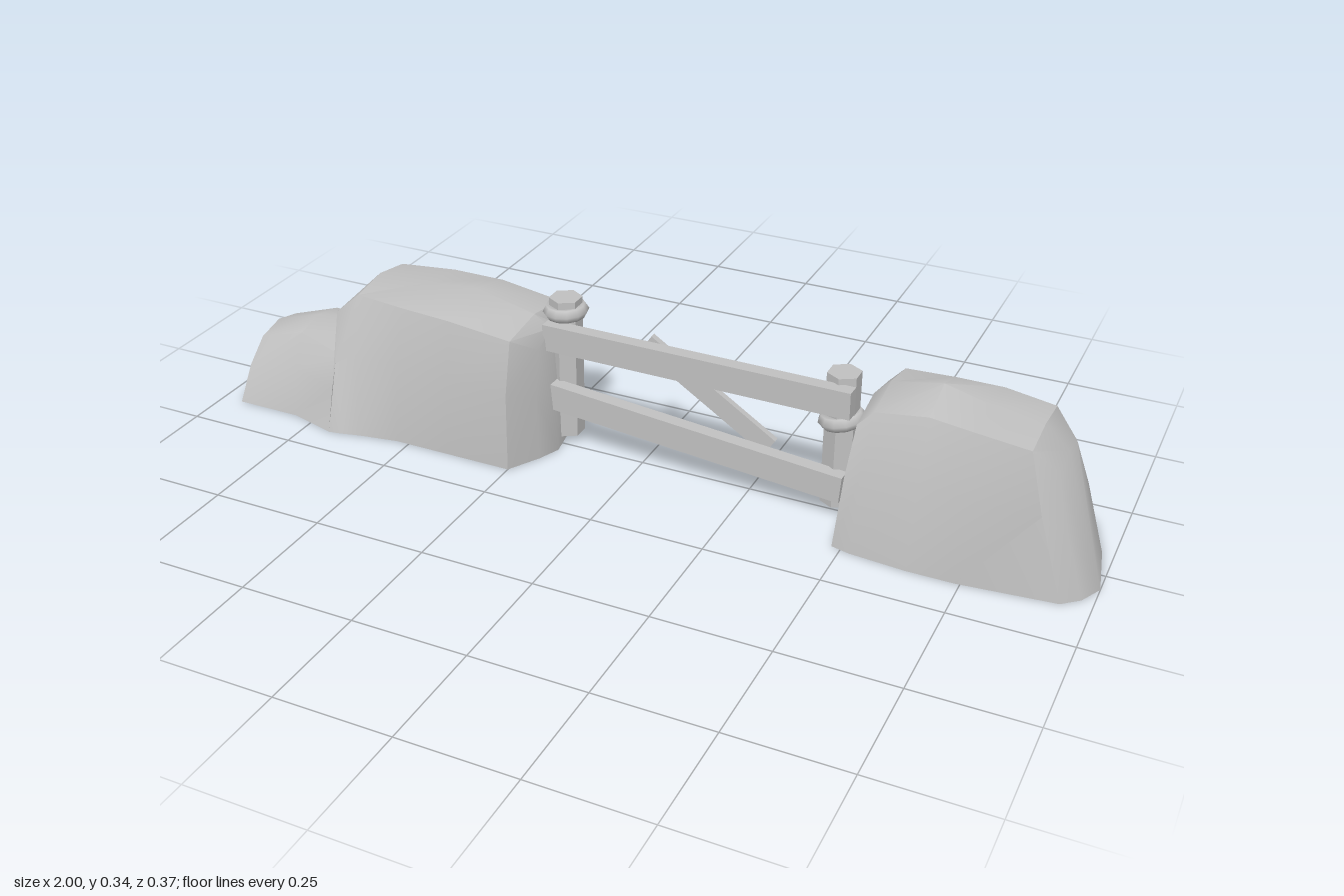
import * as THREE from 'three';
import { toCreasedNormals } from 'three/addons/utils/BufferGeometryUtils.js';

const stone = new THREE.MeshStandardMaterial({ color: 0xc0c0c0 });
stone.name = 'plain grey';

function add(group, name, geometry) {
  const mesh = new THREE.Mesh(geometry, stone);
  mesh.name = name;
  group.add(mesh);
  return mesh;
}

// Seven-point section: front foot, front waist, front shoulder, crown, then the back.
function section([xb, zf, zb, xt, yt, zft, zbt, crown]) {
  const mix = THREE.MathUtils.lerp, t = 0.6;
  const waist = (z0, z1, out) => [mix(xb, xt, t), yt * t, mix(z0, z1, t) + out];
  return [
    [xb, 0, zf], waist(zf, zft, 0.014), [xt, yt, zft],
    [xt, crown, (zft + zbt) / 2],
    [xt, yt, zbt], waist(zb, zbt, -0.012), [xb, 0, zb],
  ];
}

// Rock lofted along x, closed at both ends by a fan to a foot point.
function rock(rows, startTip, endTip) {
  const rings = rows.map(section);
  const n = 7, points = rings.flat();
  const a = points.length, b = a + 1, index = [];
  points.push(startTip, endTip);
  for (let j = 0; j < n; j++) {
    const k = (j + 1) % n;
    for (let i = 0; i < rings.length - 1; i++) {
      const p = i * n, q = p + n;
      index.push(p + j, q + j, q + k, p + j, q + k, p + k);
    }
    const last = (rings.length - 1) * n;
    index.push(a, j, k, b, last + k, last + j);
  }
  const geometry = new THREE.BufferGeometry();
  geometry.setAttribute('position', new THREE.Float32BufferAttribute(points.flat(), 3));
  geometry.setIndex(index);
  return toCreasedNormals(geometry, 0.65);
}

// Hexagonal post with a rope ring around it.
function post(name, x, z, y0, y1, ringY, tilt) {
  const group = new THREE.Group();
  group.name = name;
  const shaft = new THREE.CylinderGeometry(0.036, 0.036, y1 - y0, 6).toNonIndexed();
  shaft.computeVertexNormals();
  add(group, 'postShaft', shaft).position.y = (y0 + y1) / 2;
  const ring = add(group, 'ropeRing', new THREE.TorusGeometry(0.034, 0.016, 6, 12));
  ring.rotation.set(Math.PI / 2, tilt, 0);
  ring.position.y = ringY;
  group.position.set(x, 0, z);
  return group;
}

// Flat board between two points.
function board(group, name, from, to, height, depth) {
  const start = new THREE.Vector3(...from), end = new THREE.Vector3(...to);
  const dir = end.clone().sub(start);
  const mesh = add(group, name, new THREE.BoxGeometry(dir.length(), height, depth));
  mesh.position.copy(start).add(end).multiplyScalar(0.5);
  mesh.quaternion.setFromUnitVectors(new THREE.Vector3(1, 0, 0), dir.normalize());
}

export function createModel() {
  const model = new THREE.Group();
  model.name = 'rocksAndFence';

  // Long stepped rock
  add(model, 'longRock', rock([
    [-0.95, 0.15, -0.12, -0.94, 0.13, 0.06, -0.07, 0.145],
    [-0.8, 0.15, -0.12, -0.82, 0.17, 0.07, -0.07, 0.185],
    [-0.69, 0.18, -0.125, -0.69, 0.16, 0.11, -0.09, 0.17],
    [-0.66, 0.175, -0.14, -0.71, 0.25, 0.08, -0.10, 0.26],
    [-0.62, 0.165, -0.15, -0.66, 0.295, 0.065, -0.115, 0.31],
    [-0.53, 0.15, -0.16, -0.53, 0.30, 0.09, -0.13, 0.315],
    [-0.4, 0.15, -0.16, -0.4, 0.305, 0.11, -0.12, 0.335],
    [-0.25, 0.15, -0.14, -0.25, 0.295, 0.12, -0.10, 0.31],
    [-0.21, 0.08, -0.08, -0.215, 0.255, 0.06, -0.06, 0.28],
  ], [-1, 0, 0], [-0.19, 0, 0.03]));

  // Short rounded rock
  add(model, 'shortRock', rock([
    [0.48, 0.13, -0.15, 0.5, 0.26, 0.08, -0.12, 0.28],
    [0.52, 0.14, -0.17, 0.53, 0.29, 0.07, -0.13, 0.31],
    [0.64, 0.15, -0.17, 0.64, 0.305, 0.07, -0.11, 0.335],
    [0.74, 0.15, -0.17, 0.74, 0.305, 0.09, -0.11, 0.315],
    [0.94, 0.13, -0.185, 0.85, 0.305, 0.11, -0.08, 0.315],
    [0.975, 0.1, -0.08, 0.9, 0.25, 0.08, -0.06, 0.265],
  ], [0.47, 0, 0], [1, 0, 0.05]));

  // Fence
  model.add(post('innerLongRockPost', -0.195, -0.03, 0.02, 0.345, 0.315, 0.05));
  model.add(post('innerShortRockPost', 0.44, -0.01, 0.02, 0.32, 0.215, 0.2));
  board(model, 'topRail', [-0.22, 0.27, 0.016], [0.475, 0.277, 0.035], 0.06, 0.03);
  board(model, 'bottomRail', [-0.21, 0.13, 0.016], [0.465, 0.08, 0.035], 0.06, 0.03);
  board(model, 'diagonalBrace', [0.01, 0.295, -0.002], [0.29, 0.11, -0.008], 0.045, 0.014);

  return model;
}
